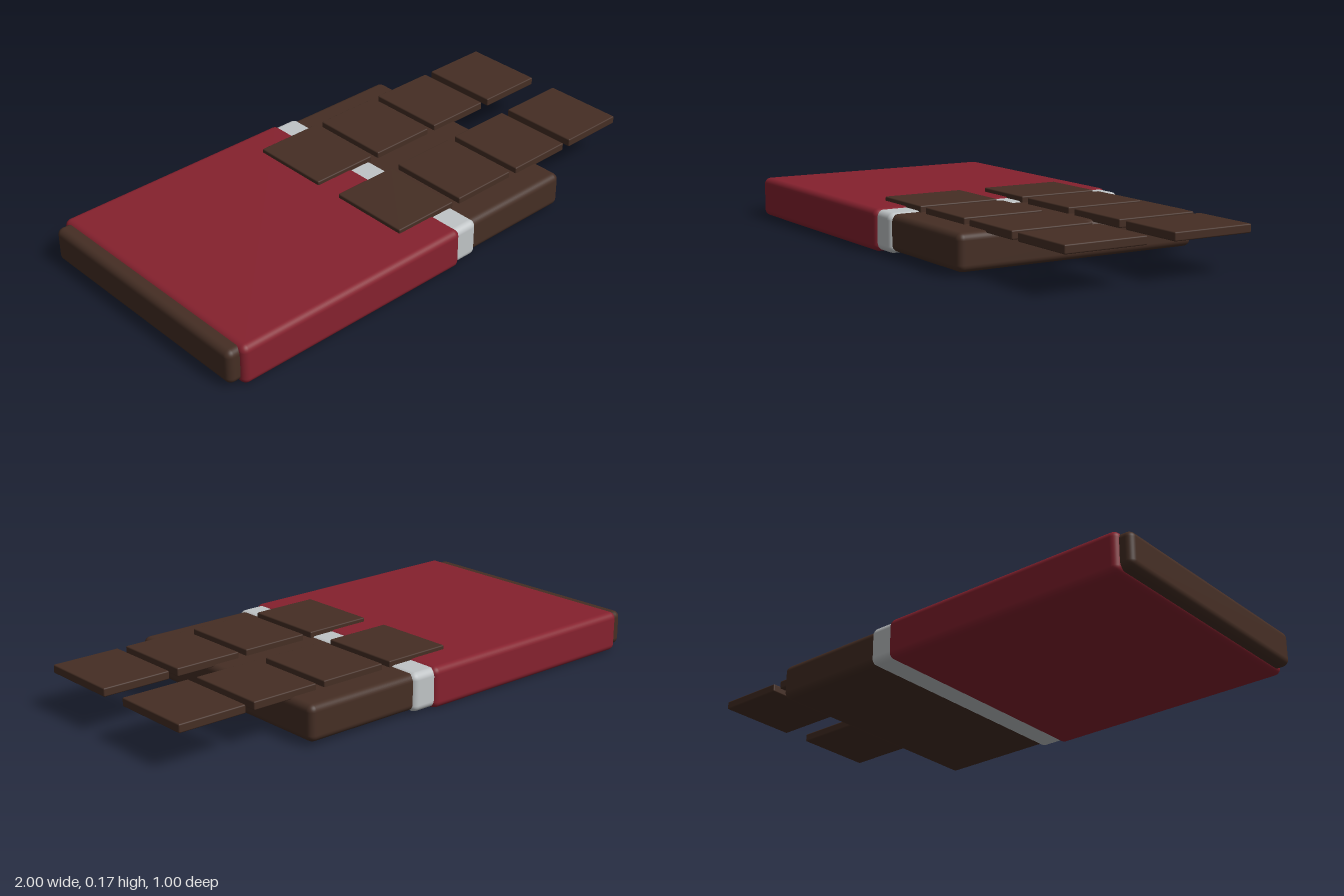
import * as THREE from 'three';
import { RoundedBoxGeometry } from 'three/addons/geometries/RoundedBoxGeometry.js';

function material(name, color) {
  const m = new THREE.MeshStandardMaterial({ color });
  m.name = name;
  return m;
}

export function createModel() {
  const chocolate = material('dark chocolate', 0x452e24);
  const paper = material('red paper', 0x85212e);
  const silver = material('silver foil', 0xc0c4c6);

  const group = new THREE.Group();
  group.name = 'chocolateBar';

  // Rounded block given by its extents on each axis
  function block(name, mat, [x0, x1], [y0, y1], [z0, z1], radius) {
    const geometry = new RoundedBoxGeometry(x1 - x0, y1 - y0, z1 - z0, 4, radius);
    const mesh = new THREE.Mesh(geometry, mat);
    mesh.name = name;
    mesh.position.set((x0 + x1) / 2, (y0 + y1) / 2, (z0 + z1) / 2);
    group.add(mesh);
  }

  // Bar with the foil and the paper sleeve around it
  block('bar', chocolate, [-1, 0.56], [0.013, 0.144], [-0.482, 0.477], 0.025);
  block('foil', silver, [-0.9, 0.11], [0.006, 0.148], [-0.492, 0.487], 0.025);
  block('wrapper', paper, [-0.955, 0.02], [0, 0.152], [-0.5, 0.497], 0.025);

  // Two rows of four thin squares, running out past the end of the bar
  const width = 0.263;
  const pitch = 0.2967;
  for (const [row, z] of [['back', [-0.37, -0.055]], ['front', [0.052, 0.367]]]) {
    for (let i = 0; i < 4; i++) {
      const x = -0.153 + i * pitch;
      block(`${row}Square${i + 1}`, chocolate, [x, x + width], [0.136, 0.167], z, 0.005);
    }
  }

  return group;
}
